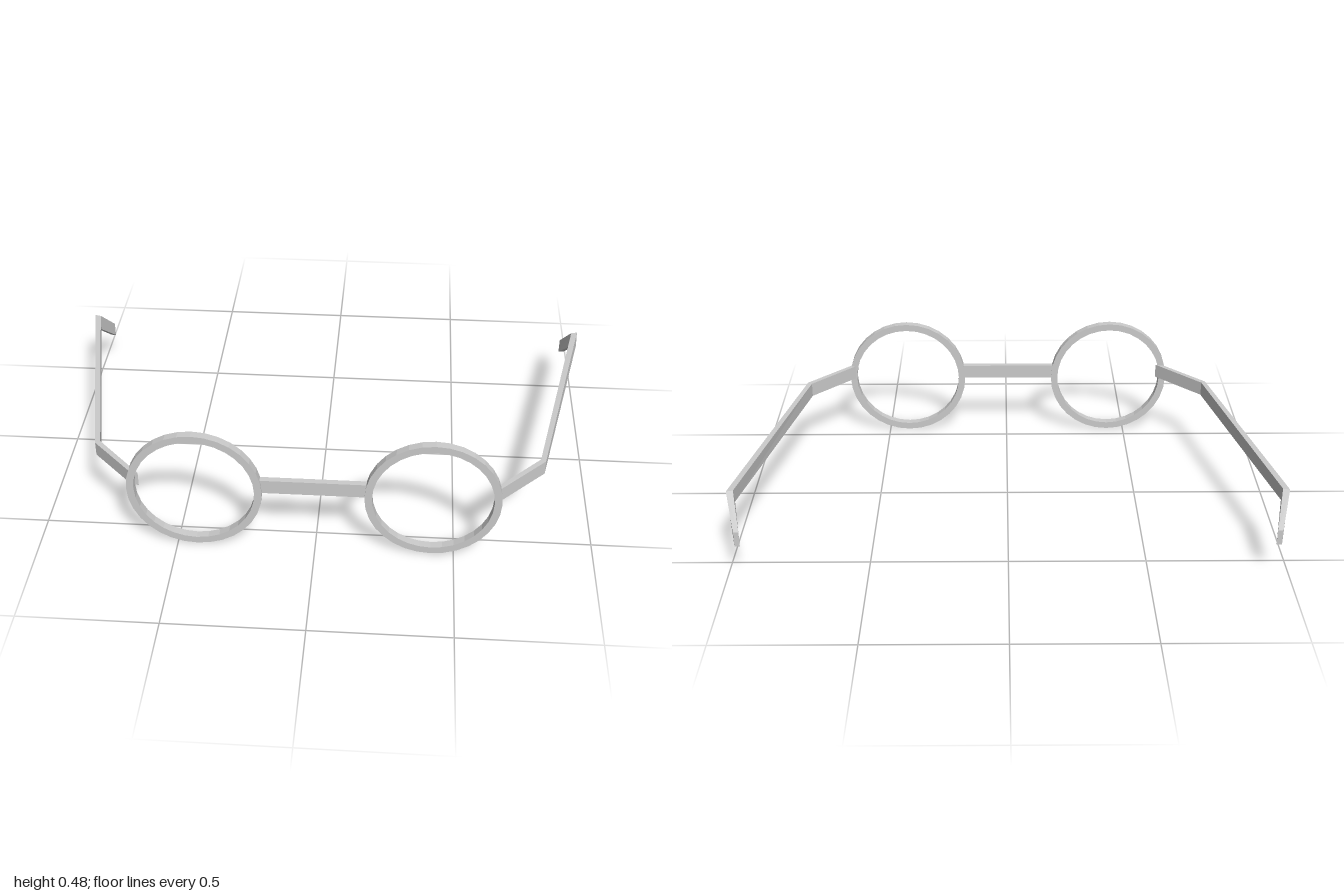
import * as THREE from 'three';

const material = new THREE.MeshStandardMaterial({ color: 0xcccccc, flatShading: true });

function addMesh(parent, name, geometry) {
  const mesh = new THREE.Mesh(geometry, material);
  mesh.name = name;
  parent.add(mesh);
  return mesh;
}

// Flat round rim: an extruded ring
function rimGeometry(radius, inner, depth) {
  const shape = new THREE.Shape().absarc(0, 0, radius, 0, Math.PI * 2, false);
  shape.holes.push(new THREE.Path().absarc(0, 0, inner, 0, Math.PI * 2, true));
  return new THREE.ExtrudeGeometry(shape, { depth, bevelEnabled: false, curveSegments: 16 });
}

// Bar lofted through four-cornered sections, mirrored by side (+1 or -1)
function loftGeometry(sections, side) {
  const positions = [];
  const index = [];
  const quad = (a, b, c, d) => index.push(...(side > 0 ? [a, b, c, a, c, d] : [a, c, b, a, d, c]));
  for (const s of sections) {
    positions.push(
      side * s.outer, s.top, s.zOuter,
      side * s.inner, s.top, s.zInner,
      side * s.inner, s.bottom, s.zInner + (s.lean || 0),
      side * s.outer, s.bottom, s.zOuter + (s.lean || 0)
    );
  }
  const last = (sections.length - 1) * 4;
  for (let i = 0; i < last; i += 4) {
    for (let k = 0; k < 4; k++) {
      const n = (k + 1) % 4;
      quad(i + k, i + 4 + k, i + 4 + n, i + n);
    }
  }
  quad(0, 1, 2, 3);
  quad(last + 3, last + 2, last + 1, last);
  const geometry = new THREE.BufferGeometry();
  geometry.setAttribute('position', new THREE.Float32BufferAttribute(positions, 3));
  geometry.setIndex(index);
  const flat = geometry.toNonIndexed();
  flat.computeVertexNormals();
  return flat;
}

export function createModel() {
  const group = new THREE.Group();
  group.name = 'glasses';

  // Rims
  for (const [name, x] of [['rightRim', -0.43], ['leftRim', 0.417]]) {
    addMesh(group, name, rimGeometry(0.242, 0.215, 0.03)).position.set(x, 0.243, 0.554);
  }

  // Bridge between the rims
  addMesh(group, 'bridge', new THREE.BoxGeometry(0.4, 0.055, 0.022)).position.set(-0.005, 0.27, 0.566);

  // Temples: hinge, elbow, ear bend and hooked tip
  const sections = [
    { outer: 0.655, inner: 0.63, zOuter: 0.561, zInner: 0.561, top: 0.297, bottom: 0.242 },
    { outer: 0.817, inner: 0.8, zOuter: 0.397, zInner: 0.386, top: 0.296, bottom: 0.241 },
    { outer: 1.0, inner: 0.976, zOuter: -0.481, zInner: -0.475, top: 0.287, bottom: 0.232, lean: 0.016 },
    { outer: 0.967, inner: 0.948, zOuter: -0.584, zInner: -0.584, top: 0.18, bottom: 0.123 }
  ];
  addMesh(group, 'leftTemple', loftGeometry(sections, 1));
  addMesh(group, 'rightTemple', loftGeometry(sections, -1));

  return group;
}
